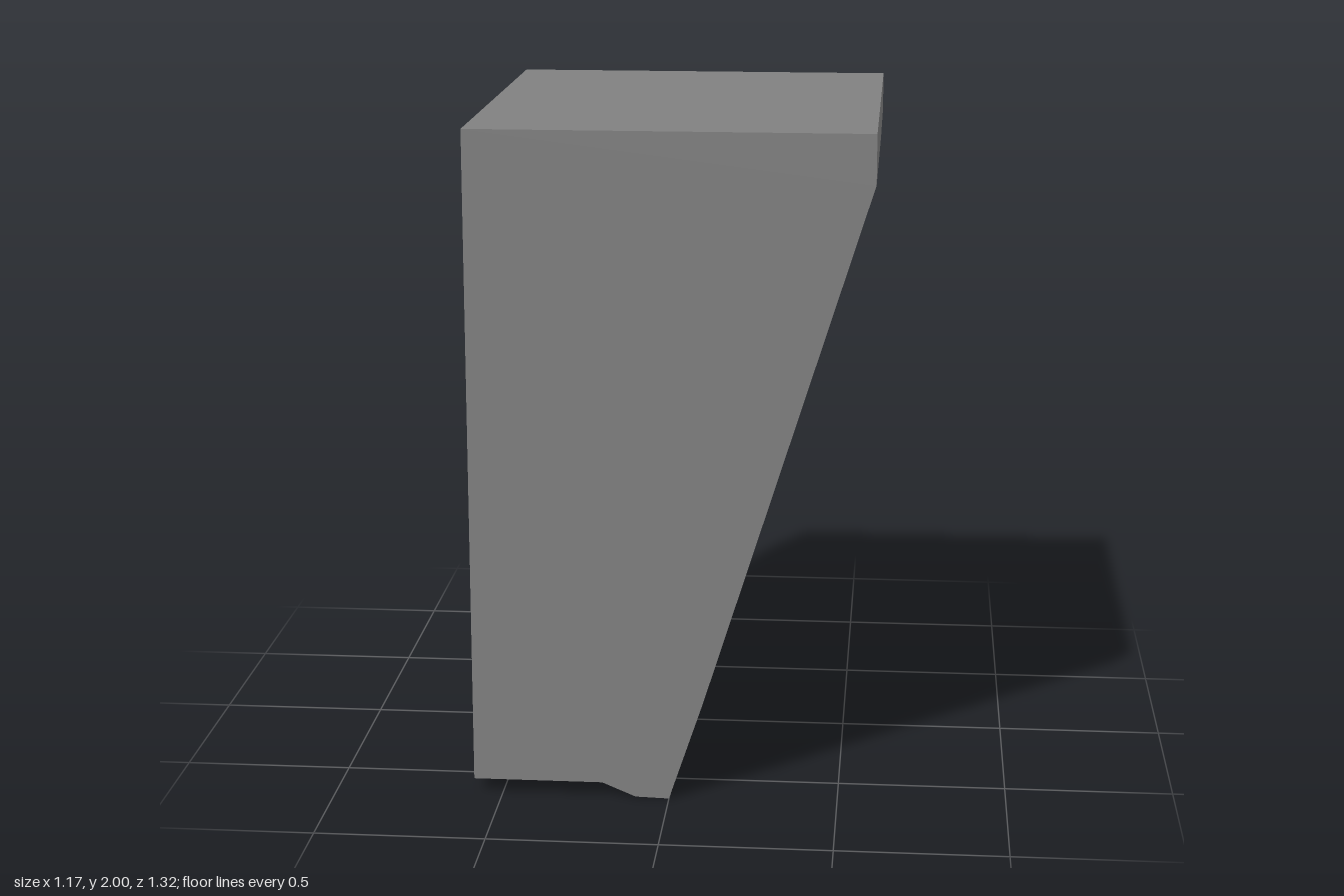
import * as THREE from 'three';

const W = 0.585, FRONT = 0.66, BACK = -0.66, LEG_BACK = -0.25, TOP = 2;

export function createModel() {
  const group = new THREE.Group();
  const grey = new THREE.MeshStandardMaterial({ color: 0x808080 });
  const greySheet = new THREE.MeshStandardMaterial({ color: 0x808080, side: THREE.DoubleSide });
  grey.name = 'grey';
  greySheet.name = 'grey sheet';

  const add = (name, geometry, material) => {
    const mesh = new THREE.Mesh(geometry, material);
    mesh.name = name;
    group.add(mesh);
    return mesh;
  };
  const shapeOf = (points) => new THREE.Shape(points.map(([x, y]) => new THREE.Vector2(x, y)));

  // Tapered leg: front profile pushed back
  const profile = [
    [-W, TOP], [-W, 0.045], [-0.2, 0.045], [-0.1, 0.003],
    [0, 0], [0.1, 0.3], [W, 1.855], [W, TOP],
  ];
  const leg = new THREE.ExtrudeGeometry(shapeOf(profile), {
    depth: FRONT - LEG_BACK, bevelEnabled: false,
  });
  leg.translate(0, 0, LEG_BACK);
  // The underside falls from the raised front edge to the floor at the back
  const pos = leg.attributes.position;
  for (let i = 0; i < pos.count; i++) {
    if (pos.getZ(i) < 0 && pos.getY(i) < 0.05) pos.setY(i, 0);
  }
  leg.computeVertexNormals();
  add('leg', leg, grey);

  // Overhanging rear part of the top
  const thickness = 0.04;
  const top = add('topOverhang', new THREE.BoxGeometry(2 * W, thickness, LEG_BACK - BACK), grey);
  top.position.set(0, TOP - thickness / 2, (LEG_BACK + BACK) / 2);

  // Thin side sheets, outlined as [z, y] and stood upright at a given x
  const sheet = (name, x, outline) => {
    const geometry = new THREE.ShapeGeometry(shapeOf(outline.map(([z, y]) => [-z, y])));
    geometry.rotateY(Math.PI / 2);
    add(name, geometry, greySheet).position.x = x;
  };
  sheet('sideFin', -W, [[LEG_BACK, 0], [BACK, 1.75], [BACK, TOP - thickness], [LEG_BACK, TOP - thickness]]);
  sheet('sideLip', W, [[LEG_BACK, 1.855], [BACK, 1.88], [BACK, TOP - thickness], [LEG_BACK, TOP - thickness]]);

  return group;
}
